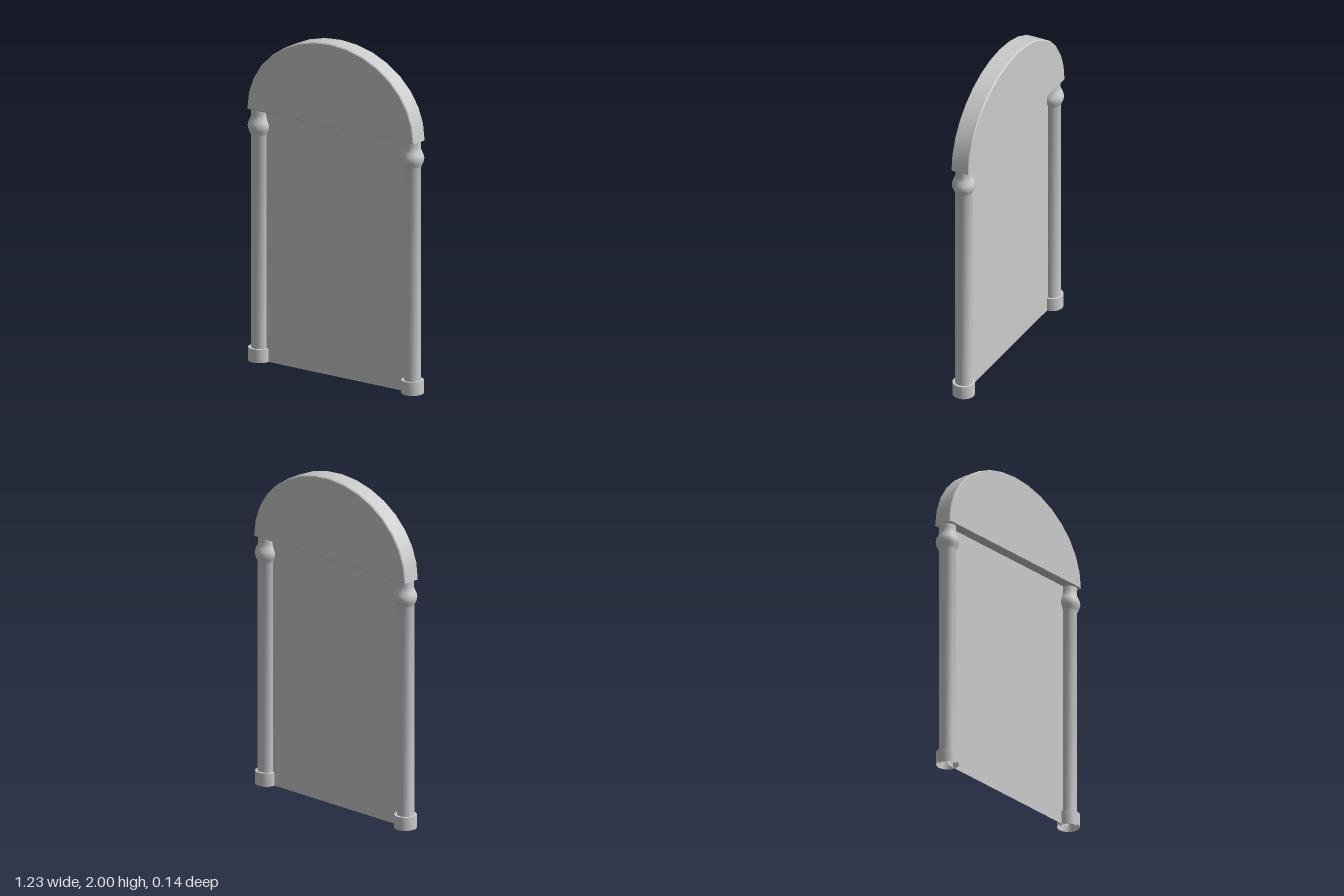
import * as THREE from 'three';
import { toCreasedNormals } from 'three/addons/utils/BufferGeometryUtils.js';

const POST_X = 0.547, ARCH_Y = 1.505;

export function createModel() {
  const model = new THREE.Group();
  const solid = new THREE.MeshStandardMaterial({ color: 0xcccccc });
  const open = new THREE.MeshStandardMaterial({ color: 0xcccccc, side: THREE.DoubleSide });

  const add = (name, geometry, material, x = 0, y = 0, z = 0) => {
    const mesh = new THREE.Mesh(geometry, material);
    mesh.name = name;
    mesh.position.set(x, y, z);
    model.add(mesh);
  };
  const lathe = (points) => toCreasedNormals(
    new THREE.LatheGeometry(points.map(([r, y]) => new THREE.Vector2(r, y)), 32), 0.7);

  // Arched head: half ellipse with a fine bevel around its rim
  const bevel = 0.006, depth = 0.114;
  const rx = 0.595 - bevel, ry = 0.495 - 2 * bevel;
  const arch = new THREE.Shape();
  arch.moveTo(rx, 0);
  for (let i = 1; i <= 16; i++) {
    const a = (i / 16) * Math.PI;
    arch.lineTo(rx * Math.cos(a), ry * Math.sin(a));
  }
  arch.closePath();
  const head = new THREE.ExtrudeGeometry(arch, {
    depth: depth - 2 * bevel, bevelEnabled: true, bevelSize: bevel, bevelThickness: bevel, bevelSegments: 1,
  });
  head.translate(0, bevel, bevel - depth / 2);
  add('archedHead', toCreasedNormals(head, 0.5), solid, 0, ARCH_Y);

  // Thin panel between the posts
  add('panel', new THREE.PlaneGeometry(POST_X * 2, ARCH_Y), open, 0, ARCH_Y / 2);

  // Hollow posts with a swelling below the head, each in an open foot collar
  const post = lathe([
    [0.05, 0], [0.05, 1.352], [0.055, 1.364], [0.064, 1.384], [0.068, 1.405],
    [0.064, 1.424], [0.055, 1.444], [0.049, 1.46], [0.048, 1.48], [0.049, ARCH_Y],
  ]);
  const collar = lathe([[0.065, 0], [0.065, 0.08], [0.05, 0.08]]);
  for (const [side, s] of [['left', 1], ['right', -1]]) {
    add(side + 'Post', post, open, s * POST_X);
    add(side + 'FootCollar', collar, open, s * POST_X);
  }
  return model;
}
